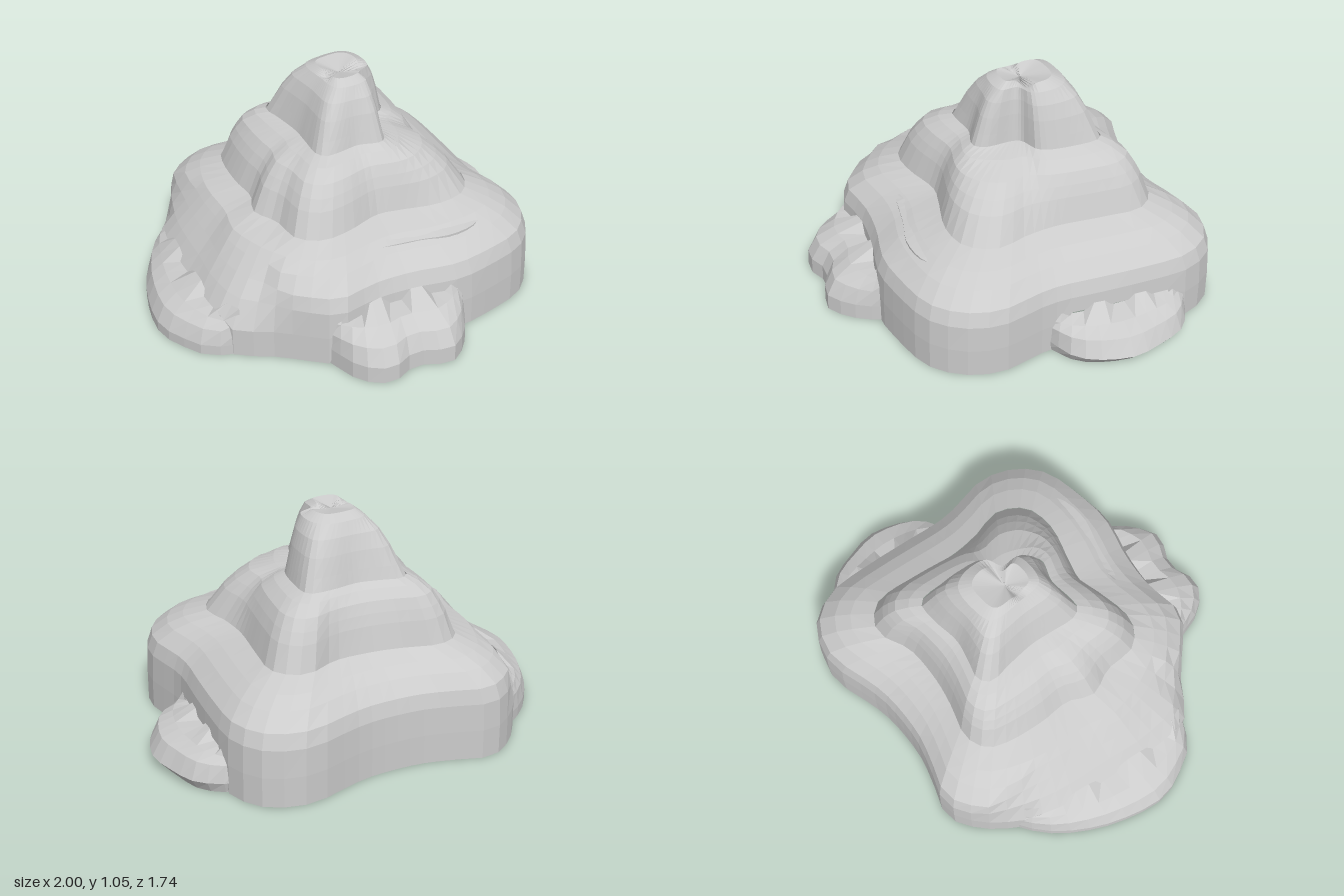
import * as THREE from 'three';

const material = new THREE.MeshStandardMaterial({ color: 0xcccccc, flatShading: true, side: THREE.DoubleSide });
const CENTRE = [0.04, -0.13];
const SEGMENTS = 64;

// Skin rows of [x, y, z] points into a surface
function skin(name, rows) {
  const n = rows[0].length, index = [];
  for (let j = 0; j < rows.length - 1; j++) {
    for (let i = 0; i < n - 1; i++) {
      const a = j * n + i, b = a + 1, c = a + n, d = c + 1;
      index.push(a, c, b, b, c, d);
    }
  }
  const geometry = new THREE.BufferGeometry();
  geometry.setAttribute('position', new THREE.Float32BufferAttribute(rows.flat(2), 3));
  geometry.setIndex(index);
  geometry.computeVertexNormals();
  const mesh = new THREE.Mesh(geometry, material);
  mesh.name = name;
  return mesh;
}

const curve = (pts, closed) =>
  new THREE.CatmullRomCurve3(pts.map(([x, z]) => new THREE.Vector3(x, 0, z)), closed, 'centripetal');

// Resample a closed outline at even angles about the centre
function polar(pts) {
  const poly = curve(pts, true).getPoints(200);
  const ring = [];
  for (let i = 0; i <= SEGMENTS; i++) {
    const angle = (i % SEGMENTS) / SEGMENTS * Math.PI * 2;
    const dx = Math.cos(angle), dz = Math.sin(angle);
    let r = 0;
    for (let k = 0; k < poly.length - 1; k++) {
      const ax = poly[k].x - CENTRE[0], az = poly[k].z - CENTRE[1];
      const ex = poly[k + 1].x - poly[k].x, ez = poly[k + 1].z - poly[k].z;
      const den = dx * ez - dz * ex;
      if (Math.abs(den) < 1e-9) continue;
      const dist = (ax * ez - az * ex) / den, s = (ax * dz - az * dx) / den;
      if (s >= -1e-6 && s <= 1 + 1e-6 && dist > r) r = dist;
    }
    ring.push([CENTRE[0] + dx * r, CENTRE[1] + dz * r]);
  }
  return ring;
}

// Blend from an outer to an inner line; each profile entry is [blend, height],
// which adjust may change for each point
function loft(name, outer, inner, profile, adjust = (t, y) => [t, y]) {
  return skin(name, profile.map(([t0, y0]) => outer.map(([x, z], i) => {
    const [t, y] = adjust(t0, y0, x, z, i);
    return [x + (inner[i][0] - x) * t, y, z + (inner[i][1] - z) * t];
  })));
}

// Lobe at the foot of the mound, with a jagged edge where it meets the wall
function lobe(name, outerPts, innerPts, profile, jag, n = 13) {
  const sample = (pts) => curve(pts, false).getSpacedPoints(n).map((p) => [p.x, p.z]);
  return loft(name, sample(outerPts), sample(innerPts), profile,
    (t, y, x, z, i) => [t, t === 1 ? y + (i % 4 < 2 ? jag : -jag) : y]);
}

// The lower wall stops above the lobes, and leans inward on the right side
function shapeWall(t, y, x, z) {
  const overLobe = (x > 0.7 && z > -0.59 && z < -0.02) ||
    (z > 0.5 && x > -0.4 && x < 0.17) || (x < -0.67 && z > -0.58 && z < 0.26);
  const lean = THREE.MathUtils.smoothstep(-x, 0.5, 0.74);
  const height = overLobe ? Math.max(y, 0.19) : y;
  const slope = Math.min(1, Math.max(0, (height - 0.2) / 0.4));
  return [Math.max(t, slope * lean), height];
}

// The summit has a front hump and a rear ridge with a dip between them
function shapeSummit(t, y, x, z) {
  return [t, y - (t > 0 ? 0.03 * Math.exp(-(((z + 0.11) / 0.04) ** 2)) : 0)];
}

export function createModel() {
  const group = new THREE.Group();
  group.name = 'mound';

  // Outlines as [x, z], from the foot to the summit
  const foot = polar([
    [-0.4, -0.87], [-0.25, -0.83], [-0.1, -0.79], [0.05, -0.78], [0.2, -0.79], [0.35, -0.83],
    [0.49, -0.87], [0.62, -0.85], [0.72, -0.79], [0.79, -0.65], [0.79, -0.45], [0.77, -0.2],
    [0.75, 0], [0.76, 0.12], [0.79, 0.26], [0.77, 0.4], [0.7, 0.52], [0.6, 0.6],
    [0.4, 0.65], [0.22, 0.67], [0, 0.62], [-0.2, 0.6], [-0.4, 0.62], [-0.48, 0.56],
    [-0.62, 0.43], [-0.79, 0.3], [-0.81, 0.12], [-0.79, -0.1], [-0.77, -0.3], [-0.73, -0.5],
    [-0.66, -0.64], [-0.54, -0.79],
  ]);
  const waist = polar([
    [-0.4, -0.5], [-0.36, -0.58], [-0.26, -0.62], [-0.1, -0.58], [0.05, -0.555], [0.25, -0.56],
    [0.35, -0.61], [0.45, -0.61], [0.53, -0.52], [0.52, -0.35], [0.49, -0.1], [0.5, 0.05],
    [0.53, 0.2], [0.45, 0.33], [0.3, 0.36], [0.1, 0.31], [0, 0.29], [-0.2, 0.34],
    [-0.33, 0.34], [-0.42, 0.26], [-0.43, 0.1], [-0.48, -0.03], [-0.43, -0.15], [-0.43, -0.3],
  ]);
  const neck = polar([
    [-0.2, -0.41], [-0.15, -0.45], [-0.06, -0.43], [0.05, -0.41], [0.2, -0.43], [0.3, -0.42],
    [0.31, -0.28], [0.27, -0.12], [0.17, -0.07], [0.15, 0.1], [0.11, 0.14], [0, 0.11],
    [-0.1, 0.12], [-0.17, 0.12], [-0.2, 0.08], [-0.19, -0.05], [-0.18, -0.15], [-0.19, -0.3],
  ]);
  const summit = polar([
    [-0.05, -0.28], [0.05, -0.31], [0.16, -0.3], [0.2, -0.24], [0.19, -0.12],
    [0.12, -0.08], [0.11, 0], [-0.04, 0], [-0.06, -0.13],
  ]);
  const tip = summit.map(() => CENTRE);

  // Stacked open shells
  group.add(
    loft('lowerTier', foot, waist,
      [[0, 0], [0, 0.14], [0.02, 0.27], [0.1, 0.34], [0.36, 0.405], [0.62, 0.445], [1, 0.485]], shapeWall),
    loft('middleTier', waist, neck,
      [[0, 0.48], [0.2, 0.6], [0.32, 0.65], [0.47, 0.7], [0.74, 0.742], [1, 0.765]]),
    loft('peak', neck, summit,
      [[0, 0.755], [0.18, 0.82], [0.4, 0.9], [0.66, 0.97], [1, 1.025]]),
    loft('summit', summit, tip, [[0, 1.025], [0.3, 1.05], [1, 1.025]], shapeSummit),
  );

  // Lobes around the foot
  group.add(
    lobe('leftLobe',
      [[0.74, -0.65], [0.83, -0.62], [0.92, -0.55], [0.98, -0.38], [1, -0.27], [0.95, -0.1], [0.88, -0.01], [0.73, 0.05]],
      [[0.75, -0.62], [0.78, -0.48], [0.77, -0.3], [0.76, -0.14], [0.73, 0.03]],
      [[0.2, 0], [0, 0.05], [0.2, 0.13], [0.55, 0.16], [1, 0.2]], 0.02),
    lobe('frontLobe',
      [[0.25, 0.64], [0.21, 0.72], [0.15, 0.8], [0.04, 0.87], [-0.12, 0.81], [-0.27, 0.85], [-0.38, 0.77], [-0.44, 0.58]],
      [[0.23, 0.63], [0.1, 0.62], [-0.1, 0.59], [-0.25, 0.58], [-0.42, 0.58]],
      [[0, 0], [0.01, 0.08], [0.17, 0.16], [0.5, 0.215], [1, 0.25]], 0.025),
    lobe('rightLobe',
      [[-0.75, 0.32], [-0.88, 0.26], [-0.95, 0.15], [-1, 0], [-0.95, -0.25], [-0.85, -0.45], [-0.75, -0.57], [-0.64, -0.65]],
      [[-0.74, 0.3], [-0.79, 0.15], [-0.78, -0.05], [-0.75, -0.3], [-0.71, -0.5], [-0.63, -0.62]],
      [[0, 0], [0, 0.05], [0.18, 0.125], [0.5, 0.165], [1, 0.215]], 0.02),
  );

  // Shallow crescent ledge on the front of the lower tier
  group.add(lobe('frontLedge',
    [[0.5, 0.43], [0.4, 0.51], [0.25, 0.53], [0.1, 0.49], [-0.1, 0.45]],
    [[0.48, 0.42], [0.35, 0.45], [0.2, 0.46], [0.05, 0.42], [-0.09, 0.43]],
    [[0, 0.4], [0, 0.425], [1, 0.44]], 0));

  return group;
}
